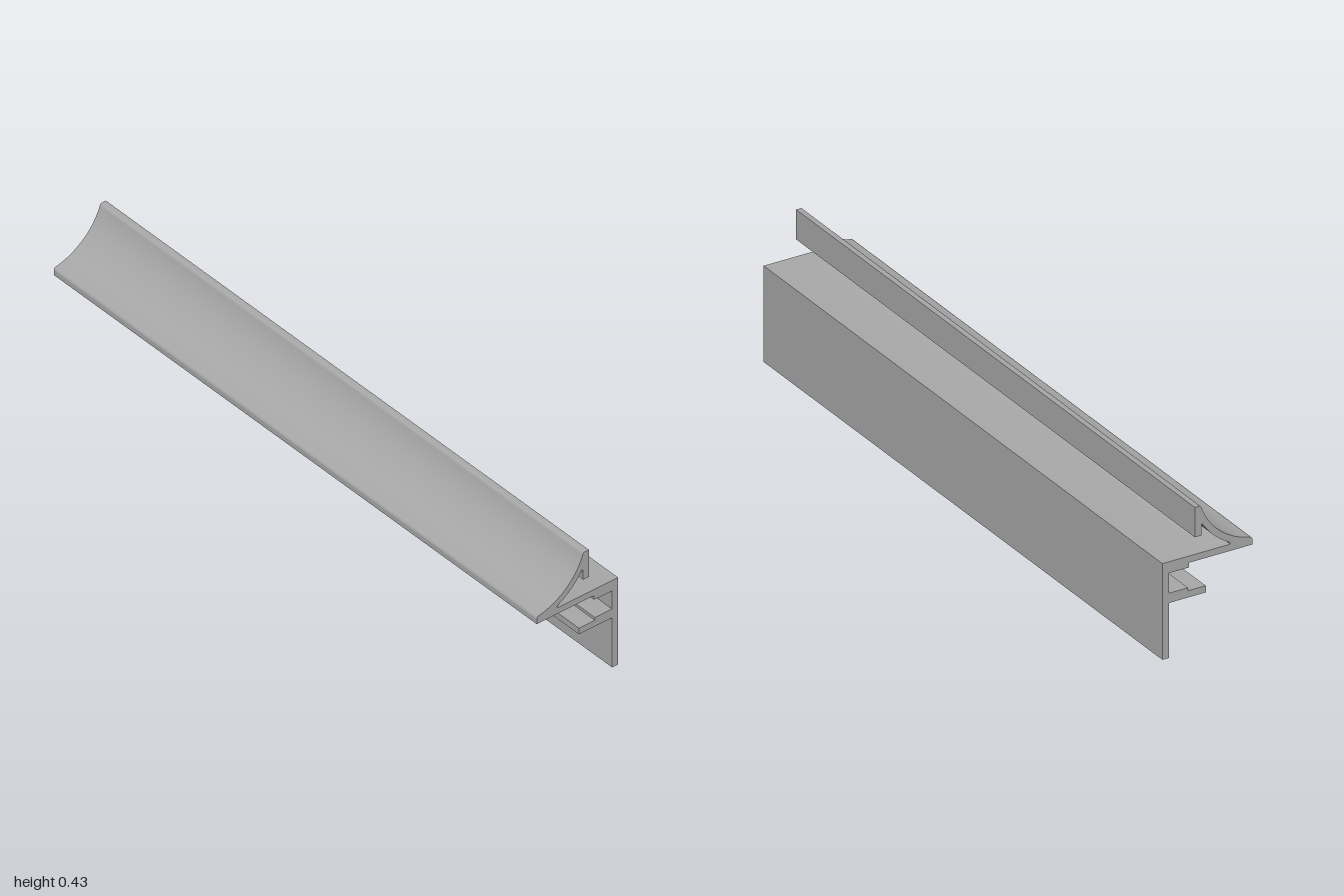
import * as THREE from 'three';
import { toCreasedNormals } from 'three/addons/utils/BufferGeometryUtils.js';

const LENGTH = 2;

// Cross-section of the trim strip, drawn anticlockwise from the foot of the web
function trimProfile() {
  const s = new THREE.Shape();
  const lines = (points) => points.forEach(([x, y]) => s.lineTo(x, y));
  const cx = -0.17, cy = 0.488; // shared centre of both cove arcs

  // Vertical web and top of the flange
  s.moveTo(0.119, 0);
  lines([[0.14, 0], [0.14, 0.287], [-0.065, 0.287]]);

  // Underside of the cove, with rounded inner corners
  s.quadraticCurveTo(-0.074, 0.287, -0.068, 0.294);
  s.absarc(cx, cy, 0.219, -1.087, -0.583, false);
  s.quadraticCurveTo(0.019, 0.376, 0.019, 0.365);

  // Hanging lip at the top
  lines([[0.019, 0.338], [0.039, 0.338], [0.039, 0.427], [0.025, 0.427]]);
  s.quadraticCurveTo(0.02, 0.427, 0.017, 0.418);

  // Concave outer face and rounded nose
  s.absarc(cx, cy, 0.2, -0.358, -1.385, true);
  s.quadraticCurveTo(-0.14, 0.289, -0.14, 0.283);

  // Flange underside with its step, then the stepped lower shelf
  lines([
    [-0.14, 0.267], [0.057, 0.267], [0.057, 0.253], [0.119, 0.253],
    [0.119, 0.193], [0.06, 0.193], [0.06, 0.184], [0.005, 0.184],
    [0.005, 0.164], [0.119, 0.164],
  ]);
  s.closePath();
  return s;
}

export function createModel() {
  const group = new THREE.Group();
  group.name = 'trimStrip';

  const grey = new THREE.MeshStandardMaterial({ color: 0xa6a6a6 });
  grey.name = 'grey';

  // One continuous extrusion, smooth on the curves and sharp on the corners
  const extrusion = new THREE.ExtrudeGeometry(trimProfile(), {
    depth: LENGTH, bevelEnabled: false, curveSegments: 20,
  });
  extrusion.translate(0, 0, -LENGTH / 2);
  const strip = new THREE.Mesh(toCreasedNormals(extrusion, 0.5), grey);
  strip.name = 'extrudedProfile';
  group.add(strip);

  return group;
}
